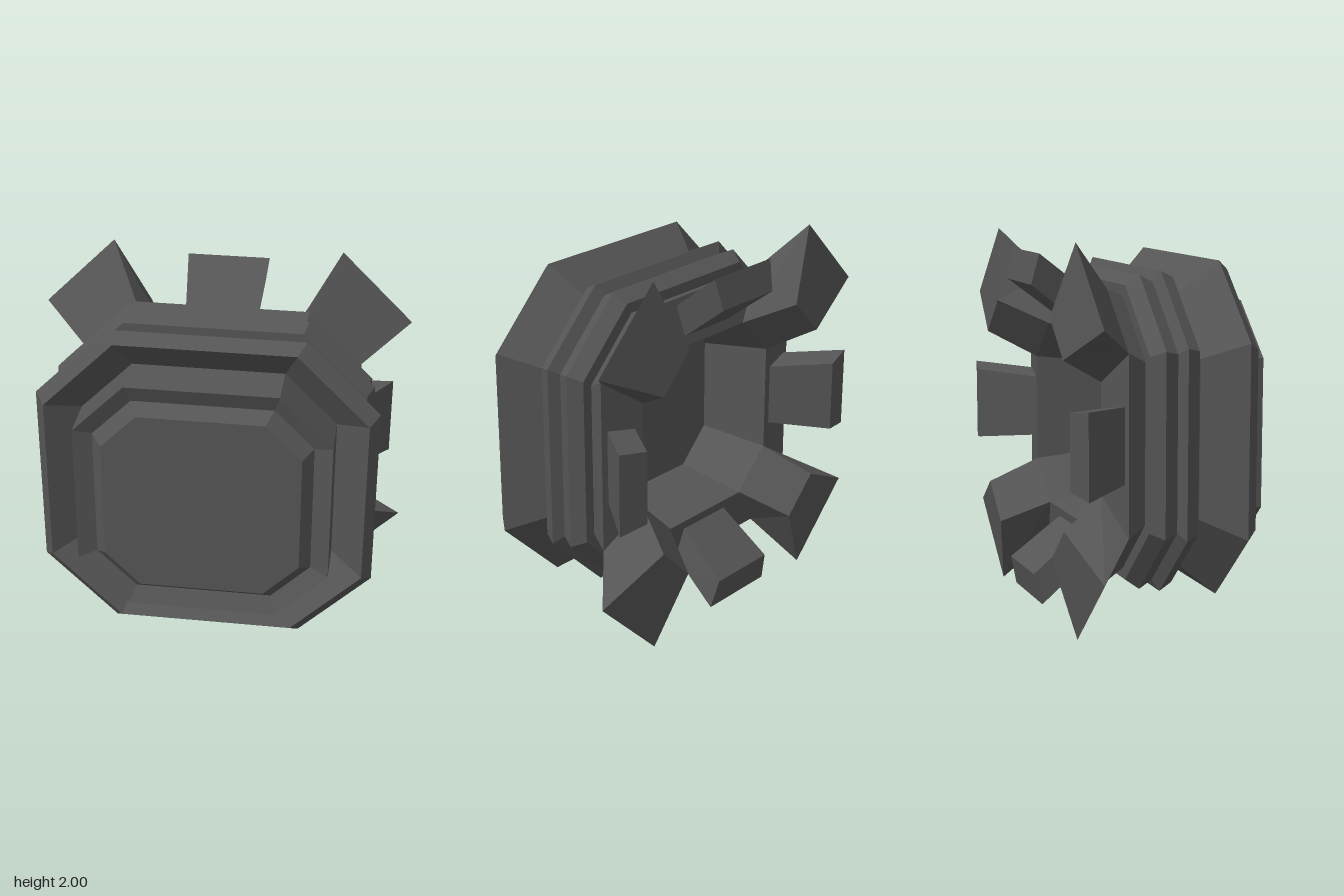
import * as THREE from 'three';

const material = new THREE.MeshStandardMaterial({ color: 0x555555, flatShading: true });

// Skins a list of loops (counter-clockwise seen from +z, ordered front to back)
function loft(name, loops, capFront, capBack) {
  const pos = [];
  const tri = (a, b, c) => pos.push(...a, ...b, ...c);
  for (let k = 0; k < loops.length - 1; k++) {
    const p = loops[k], q = loops[k + 1], n = p.length;
    for (let i = 0; i < n; i++) {
      const j = (i + 1) % n;
      tri(p[i], q[i], q[j]);
      tri(p[i], q[j], p[j]);
    }
  }
  const first = loops[0], last = loops[loops.length - 1];
  for (let i = 1; i < first.length - 1; i++) {
    if (capFront) tri(first[0], first[i], first[i + 1]);
    if (capBack) tri(last[0], last[i + 1], last[i]);
  }
  const geometry = new THREE.BufferGeometry();
  geometry.setAttribute('position', new THREE.Float32BufferAttribute(pos, 3));
  geometry.computeVertexNormals();
  const mesh = new THREE.Mesh(geometry, material);
  mesh.name = name;
  return mesh;
}

// Square with cut corners: half size h, flat half length a, depth z
const ring = ([h, z, a = h * 0.58]) => [
  [h, -a, z], [h, a, z], [a, h, z], [-a, h, z],
  [-h, a, z], [-h, -a, z], [-a, -h, z], [a, -h, z],
];

// Four-cornered section of a prong: outer and inner radius, half width and depth
const section = ([ro, wo, zo, ri, wi, zi]) => [
  [ro, -wo, zo], [ro, wo, zo], [ri, wi, zi], [ri, -wi, zi],
];

export function createModel() {
  const group = new THREE.Group();
  const body = new THREE.Group();
  body.name = 'body';
  body.position.y = 1;
  group.add(body);

  // Raised front panel inside its sloping frame
  body.add(loft('frontPanel', [
    [0.51, 0.555, 0.325], [0.565, 0.49, 0.36], [0.66, 0.53, 0.39], [0.66, 0.28, 0.39],
  ].map(ring), true, false));

  // Flared front collar with a sunken inner slope
  body.add(loft('frontCollar', [
    [0.66, 0.28, 0.39], [0.83, 0.415, 0.46], [0.88, 0.35, 0.5], [0.71, 0.155], [0.71, 0.11],
  ].map(ring), false, false));

  // Two ribs around the middle
  body.add(loft('middleRibs', [
    [0.71, 0.11], [0.8, 0.11], [0.835, 0.035], [0.78, 0.003],
    [0.815, -0.075], [0.765, -0.142], [0.71, -0.142],
  ].map(ring), false, false));

  // Back rim and the hollow behind the front panel
  body.add(loft('backRim', [
    [0.71, -0.142], [0.75, -0.245, 0.465], [0.5, -0.295, 0.29], [0.43, 0.08, 0.25],
  ].map(ring), false, true));

  // Large corner prongs and small side prongs spreading out from the rim
  const corner = [
    [0.857, 0.203, -0.245, 0.559, 0.148, -0.295],
    [1.142, 0.272, -0.47, 0.742, 0.135, -0.54],
  ].map(section);
  const side = [
    [0.71, 0.195, -0.245, 0.54, 0.165, -0.27],
    [0.92, 0.22, -0.52, 0.76, 0.195, -0.557],
  ].map(section);
  for (let i = 0; i < 4; i++) {
    const big = loft('cornerProng', corner, true, true);
    big.rotation.z = Math.PI / 4 + i * Math.PI / 2;
    const small = loft('sideProng', side, true, true);
    small.rotation.z = i * Math.PI / 2;
    body.add(big, small);
  }
  return group;
}
